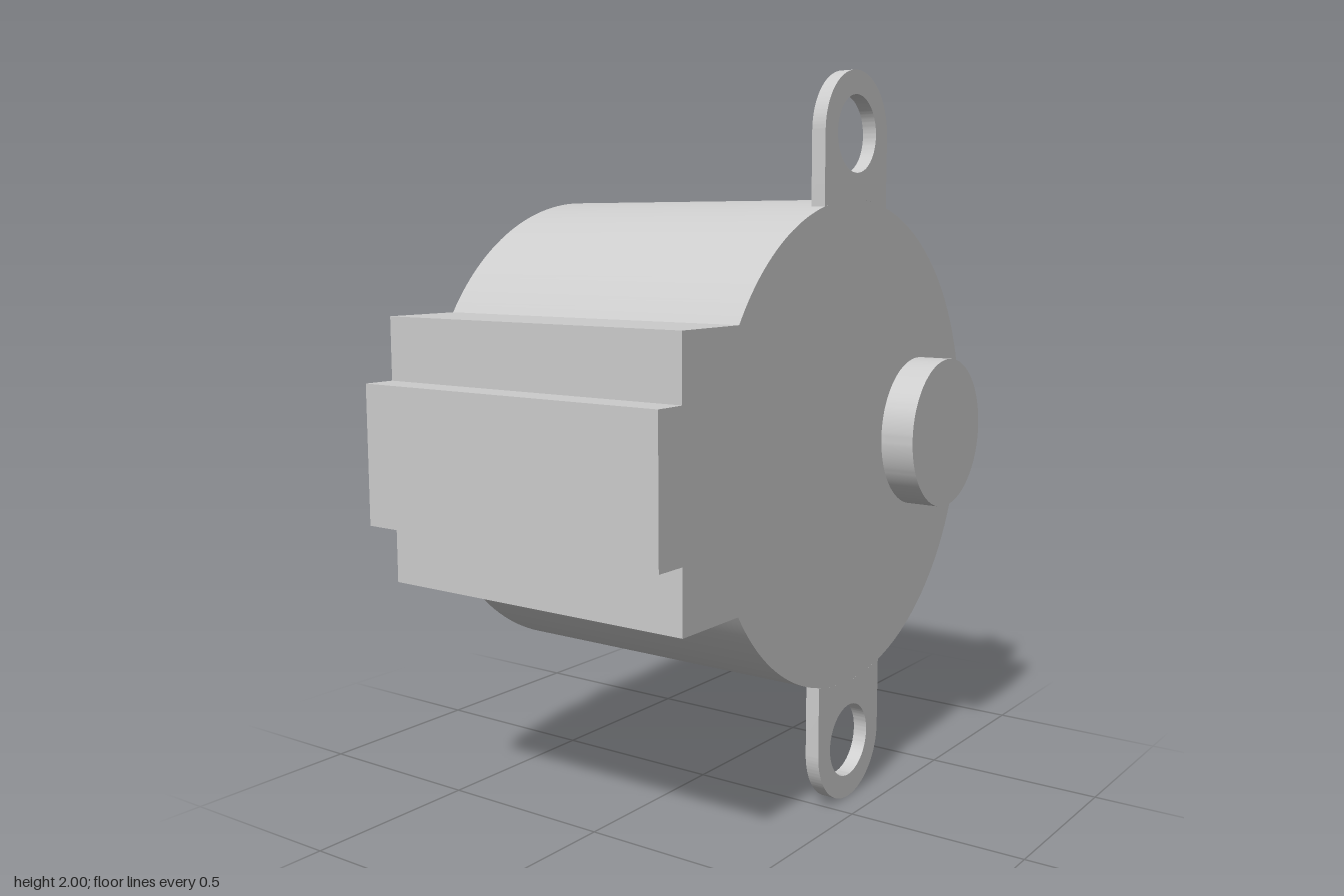
import * as THREE from 'three';
import { toCreasedNormals } from 'three/addons/utils/BufferGeometryUtils.js';

const R = 0.663;                 // body radius
const AXIS = [0.107, 1.0];       // body axis in x, y
const BACK = -0.525, FACE = 0.425;

export function createModel() {
  const group = new THREE.Group();
  const material = new THREE.MeshStandardMaterial({ color: 0xcccccc });

  // Extrude a shape drawn around the body axis from z0 to z1
  function addPart(name, shape, z0, z1, turn = 0) {
    const extruded = new THREE.ExtrudeGeometry(shape, {
      depth: z1 - z0, bevelEnabled: false, curveSegments: 72,
    });
    const mesh = new THREE.Mesh(toCreasedNormals(extruded, 0.5), material);
    mesh.name = name;
    mesh.position.set(AXIS[0], AXIS[1], z0);
    mesh.rotation.z = turn;
    group.add(mesh);
  }

  // Round can with the stepped wiring block on its right side
  const blockHalf = 0.358, plugHalf = 0.188, blockX = -0.789, plugX = -0.88;
  const gap = Math.PI - Math.asin(blockHalf / R);
  const body = new THREE.Shape();
  body.absarc(0, 0, R, -gap, gap, false);
  body.lineTo(blockX, blockHalf);
  body.lineTo(blockX, plugHalf);
  body.lineTo(plugX, plugHalf);
  body.lineTo(plugX, -plugHalf);
  body.lineTo(blockX, -plugHalf);
  body.lineTo(blockX, -blockHalf);
  body.closePath();
  addPart('motorBody', body, BACK, FACE);

  // Mounting ears with screw holes, their base following the can
  const earR = 0.165, earY = 0.835;
  const s = Math.asin(earR / R);
  const ear = new THREE.Shape();
  ear.absarc(0, 0, R, Math.PI / 2 + s, Math.PI / 2 - s, true);
  ear.lineTo(earR, earY);
  ear.absarc(0, earY, earR, 0, Math.PI, false);
  ear.closePath();
  ear.holes.push(new THREE.Path().absarc(0, earY, 0.102, 0, Math.PI * 2, true));
  addPart('upperMountingEar', ear, 0.385, FACE);
  addPart('lowerMountingEar', ear, 0.385, FACE, Math.PI);

  // Offset shaft boss on the front face
  const boss = new THREE.Shape().absarc(0.378, 0, 0.215, 0, Math.PI * 2, false);
  addPart('shaftBoss', boss, FACE, 0.523);

  return group;
}
